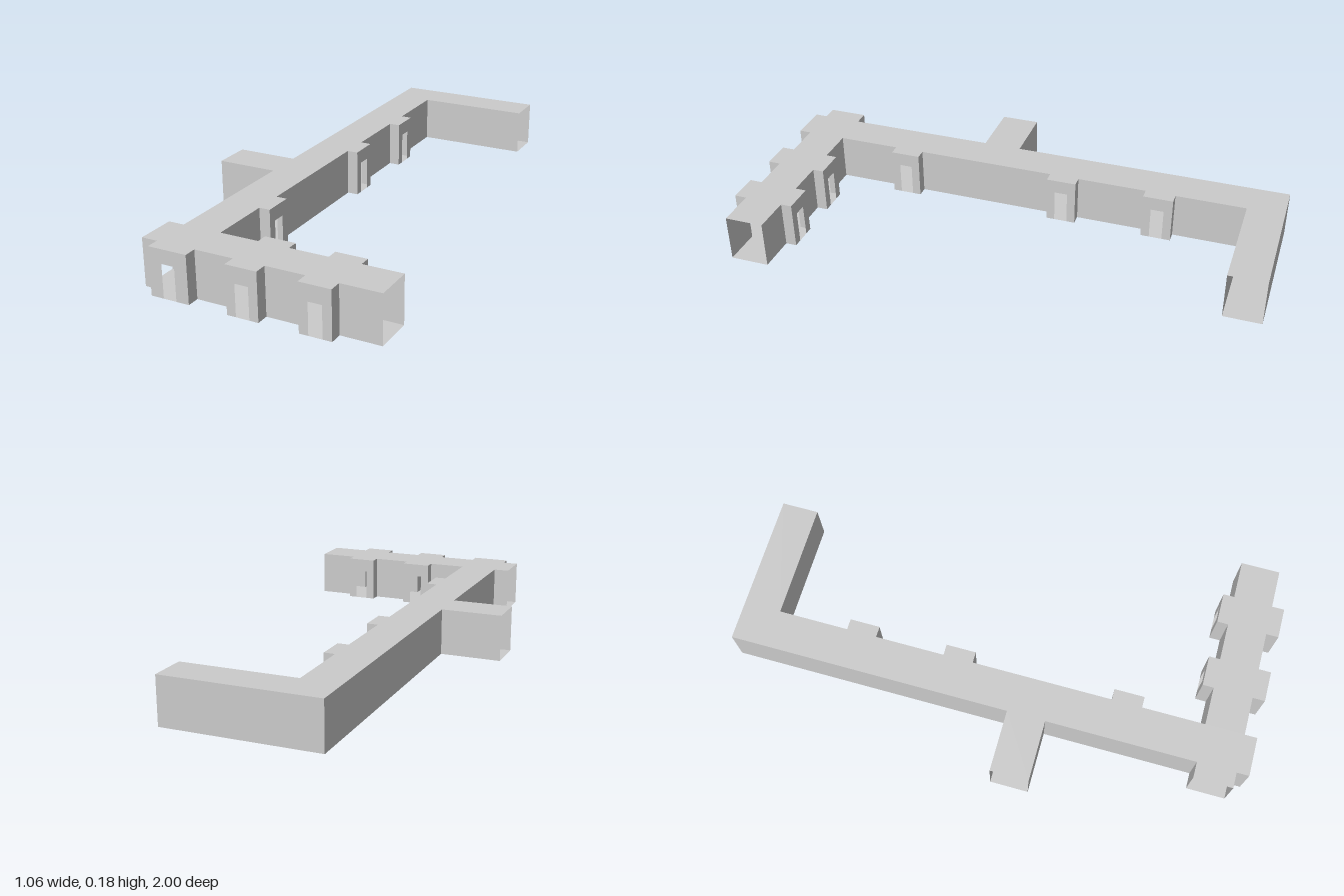
import * as THREE from 'three';

const HEIGHT = 0.178, DOOR_W = 0.05, DOOR_H = 0.125;

// Footprint as corners [x, z, kind]; kind describes the wall from this corner to the next
function footprint() {
  const path = [];
  const to = (x, z, kind = 'wall') => path.push([x, z, kind]);
  // Shallow bays with a doorway, projecting from a wall along x or along z
  const bayX = (x0, x1, z, zOut) => { to(x0, z); to(x0, zOut, 'door'); to(x1, zOut); to(x1, z); };
  const bayZ = (z0, z1, x, xOut) => { to(x, z0); to(xOut, z0, 'door'); to(xOut, z1); to(x, z1); };

  // front corridor, outer side
  to(-0.355, 0.953);
  bayX(-0.295, -0.147, 0.953, 1);
  bayX(0, 0.117, 0.953, 1);
  bayX(0.263, 0.38, 0.953, 1);
  to(0.528, 0.953, 'open');
  // front corridor, inner side
  to(0.528, 0.805);
  bayX(0.38, 0.263, 0.805, 0.763);
  bayX(0.117, 0, 0.805, 0.763);
  to(-0.147, 0.805);
  // long corridor, inner side
  bayZ(0.565, 0.45, -0.147, -0.105);
  bayZ(-0.09, -0.205, -0.147, -0.105);
  bayZ(-0.472, -0.588, -0.147, -0.105);
  // rear arm
  to(-0.147, -0.858);
  to(0.292, -0.858, 'open');
  to(0.292, -1);
  to(-0.295, -1);
  // side branch
  to(-0.295, 0.085);
  to(-0.53, 0.085, 'open');
  to(-0.53, 0.232);
  to(-0.295, 0.232);
  // stub end of the front corridor
  to(-0.295, 0.805);
  to(-0.355, 0.805, 'open');
  return path;
}

// Upright panel of the given length, optionally notched by a doorway
function panelGeometry(length, hasDoor) {
  const a = (length - DOOR_W) / 2, b = (length + DOOR_W) / 2;
  const notch = hasDoor ? [[a, 0], [a, DOOR_H], [b, DOOR_H], [b, 0]] : [];
  const corners = [[0, 0], ...notch, [length, 0], [length, HEIGHT], [0, HEIGHT]];
  return new THREE.ShapeGeometry(new THREE.Shape(corners.map(([x, y]) => new THREE.Vector2(x, y))));
}

export function createModel() {
  const model = new THREE.Group();
  model.name = 'corridors';
  const material = new THREE.MeshStandardMaterial({ color: 0xcccccc, side: THREE.DoubleSide });
  const path = footprint();

  // Floor and ceiling share the footprint
  const slab = (name, sign, y) => {
    const shape = new THREE.Shape(path.map(([x, z]) => new THREE.Vector2(x, sign * z)));
    const mesh = new THREE.Mesh(new THREE.ShapeGeometry(shape).rotateX(sign * Math.PI / 2), material);
    mesh.name = name;
    mesh.position.y = y;
    model.add(mesh);
  };
  slab('floor', 1, 0);
  slab('ceiling', -1, HEIGHT);

  // Walls follow the footprint, leaving the corridor ends open
  const walls = new THREE.Group();
  walls.name = 'walls';
  path.forEach(([x, z, kind], i) => {
    if (kind === 'open') return;
    const [nx, nz] = path[(i + 1) % path.length];
    const wall = new THREE.Mesh(panelGeometry(Math.hypot(nx - x, nz - z), kind === 'door'), material);
    wall.name = kind === 'door' ? 'doorwayWall' : 'wall';
    wall.position.set(x, 0, z);
    wall.rotation.y = Math.atan2(z - nz, nx - x);
    walls.add(wall);
  });
  model.add(walls);
  return model;
}
